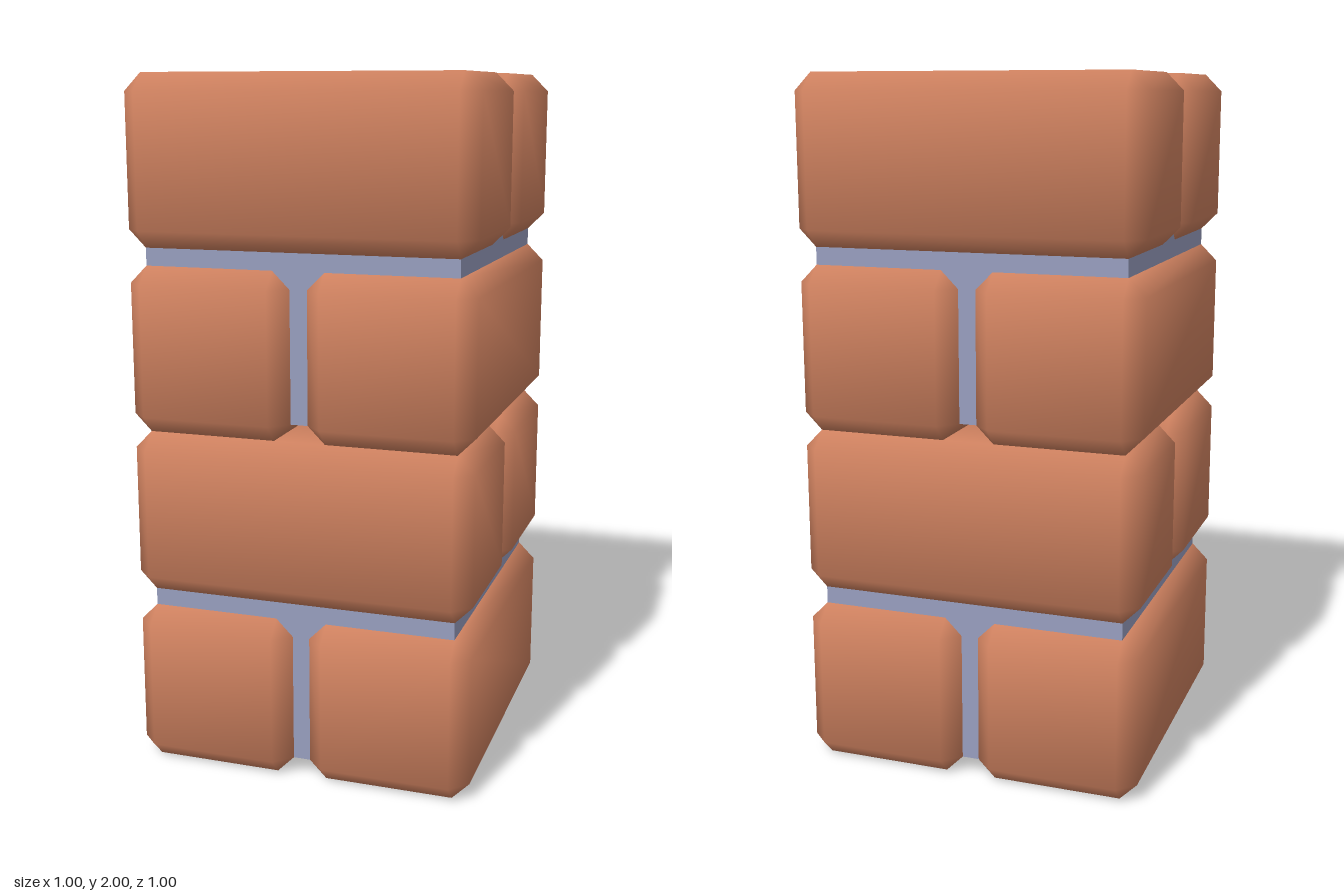
import * as THREE from 'three';

const BEVEL = 0.05;
const DEPTH = 0.475; // brick height and width
const signs = [-1, 1];

// Box with one flat bevel on every edge and normals blended across the bevels.
function bevelledBox(w, h, d) {
  const half = [w / 2, h / 2, d / 2];
  const position = [], normal = [], index = [];

  // Three vertices per corner, one for each face axis.
  const id = (s, axis) => ((s[0] > 0 ? 4 : 0) + (s[1] > 0 ? 2 : 0) + (s[2] > 0 ? 1 : 0)) * 3 + axis;
  for (const x of signs) for (const y of signs) for (const z of signs) {
    const s = [x, y, z];
    for (let axis = 0; axis < 3; axis++) {
      for (let k = 0; k < 3; k++) {
        position.push(s[k] * (half[k] - (k === axis ? 0 : BEVEL)));
        normal.push(s[k] * (k === axis ? 0.876 : 0.341));
      }
    }
  }

  // Adds a triangle, turned so that it faces away from the centre.
  const point = (i) => new THREE.Vector3().fromArray(position, i * 3);
  const tri = (a, b, c) => {
    const pa = point(a), pb = point(b), pc = point(c);
    const n = pb.clone().sub(pa).cross(pc.clone().sub(pa));
    if (n.dot(pa.add(pb).add(pc)) > 0) index.push(a, b, c);
    else index.push(a, c, b);
  };
  const quad = (a, b, c, e) => { tri(a, b, c); tri(a, c, e); };

  for (let axis = 0; axis < 3; axis++) {
    const u = (axis + 1) % 3, v = (axis + 2) % 3;
    const corner = (a, b, c) => {
      const s = [];
      s[axis] = a; s[u] = b; s[v] = c;
      return s;
    };
    // Main faces
    for (const a of signs) {
      quad(...[[-1, -1], [1, -1], [1, 1], [-1, 1]].map(([b, c]) => id(corner(a, b, c), axis)));
    }
    // Edge bevels running along this axis
    for (const b of signs) for (const c of signs) {
      const p = corner(-1, b, c), q = corner(1, b, c);
      quad(id(p, u), id(q, u), id(q, v), id(p, v));
    }
  }
  // Corner triangles
  for (let i = 0; i < 8; i++) tri(i * 3, i * 3 + 1, i * 3 + 2);

  const geometry = new THREE.BufferGeometry();
  geometry.setAttribute('position', new THREE.Float32BufferAttribute(position, 3));
  geometry.setAttribute('normal', new THREE.Float32BufferAttribute(normal, 3));
  geometry.setIndex(index);
  geometry.normalizeNormals();
  return geometry;
}

export function createModel() {
  const brick = new THREE.MeshStandardMaterial({ color: 0xd08260 });
  brick.name = 'brick';
  const mortar = new THREE.MeshStandardMaterial({ color: 0x989ebf });
  mortar.name = 'mortar';

  const model = new THREE.Group();
  model.name = 'brickPillar';
  const brickAlongX = bevelledBox(1, DEPTH, DEPTH);
  const brickAlongZ = bevelledBox(DEPTH, DEPTH, 1);
  const coreGeometry = new THREE.BoxGeometry(0.9, 0.9, 0.9);

  // Two stacked blocks, each a mortar core with two crossed courses of bricks.
  for (let block = 0; block < 2; block++) {
    const group = new THREE.Group();
    group.name = block === 0 ? 'lowerBlock' : 'upperBlock';
    group.position.y = block;

    const core = new THREE.Mesh(coreGeometry, mortar);
    core.name = 'mortarCore';
    core.position.y = 0.5;
    group.add(core);

    for (const side of signs) {
      const lower = new THREE.Mesh(brickAlongZ, brick);
      lower.name = side > 0 ? 'lowerBrickLeft' : 'lowerBrickRight';
      lower.position.set(side * 0.2625, DEPTH / 2, 0);
      const upper = new THREE.Mesh(brickAlongX, brick);
      upper.name = side > 0 ? 'upperBrickFront' : 'upperBrickBack';
      upper.position.set(0, 1 - DEPTH / 2, side * 0.2625);
      group.add(lower, upper);
    }
    model.add(group);
  }
  return model;
}
